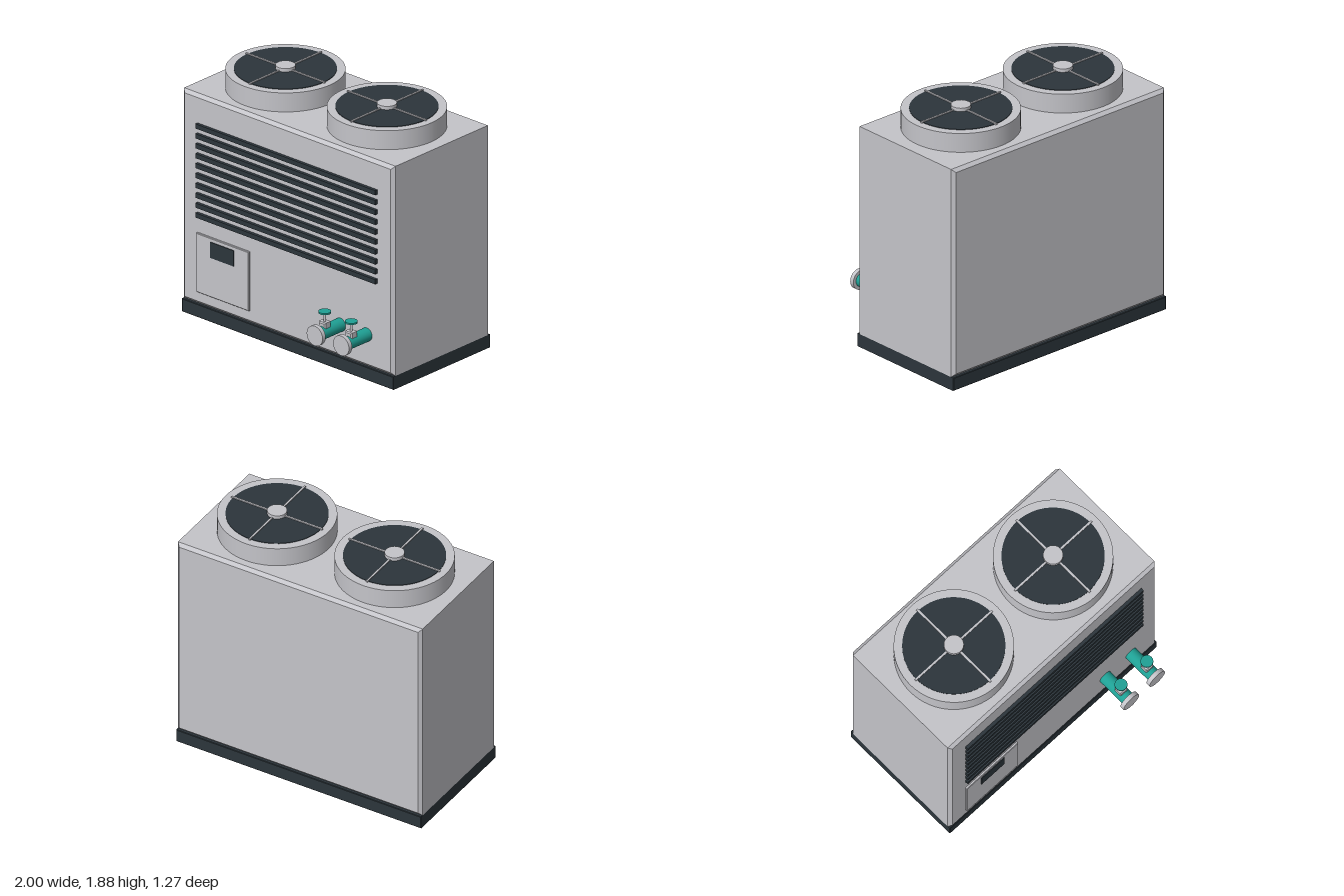
import * as THREE from 'three';

const casing = new THREE.MeshStandardMaterial({ color: 0xc4c4c9 });
casing.name = 'casing grey';
const dark = new THREE.MeshStandardMaterial({ color: 0x2c353b });
dark.name = 'dark slate';
const teal = new THREE.MeshStandardMaterial({ color: 0x1fa195 });
teal.name = 'pipe teal';

function add(parent, name, geometry, material, x = 0, y = 0, z = 0) {
  const mesh = new THREE.Mesh(geometry, material);
  mesh.name = name;
  mesh.position.set(x, y, z);
  parent.add(mesh);
  return mesh;
}

// Box with 45 degree chamfers of size c on all edges, centred on the origin
function chamferBox(w, h, d, c) {
  const x = w / 2 - c, y = h / 2 - c;
  const shape = new THREE.Shape([
    new THREE.Vector2(-x, -y), new THREE.Vector2(x, -y),
    new THREE.Vector2(x, y), new THREE.Vector2(-x, y),
  ]);
  const geometry = new THREE.ExtrudeGeometry(shape, {
    depth: d - 2 * c, bevelEnabled: true, bevelSegments: 1, bevelSize: c, bevelThickness: c,
  });
  return geometry.translate(0, 0, c - d / 2);
}

const disc = (r, h, n = 48) => new THREE.CylinderGeometry(r, r, h, n);

// Raised fan housing with dark opening, cross guard and hub
function makeFan(x) {
  const fan = new THREE.Group();
  fan.name = 'fan';
  fan.position.set(x, 1.69, -0.135);
  add(fan, 'fanHousing', disc(0.42, 0.155, 64), casing, 0, 0.0775, 0);
  add(fan, 'fanOpening', disc(0.36, 0.008, 64), dark, 0, 0.155, 0);
  add(fan, 'guardBarAcross', new THREE.BoxGeometry(0.744, 0.012, 0.014), casing, 0, 0.16, 0);
  add(fan, 'guardBarDeep', new THREE.BoxGeometry(0.014, 0.012, 0.744), casing, 0, 0.16, 0);
  add(fan, 'fanHub', disc(0.07, 0.03, 32), casing, 0, 0.17, 0);
  return fan;
}

// Flanged water pipe with a hand valve
function makePipe(x) {
  const pipe = new THREE.Group();
  pipe.name = 'waterPipe';
  pipe.position.set(x, 0.35, 0);
  add(pipe, 'pipe', disc(0.05, 0.25, 32), teal, 0, 0, 0.48).rotation.x = Math.PI / 2;
  add(pipe, 'flange', disc(0.075, 0.032, 40), casing, 0, 0, 0.617).rotation.x = Math.PI / 2;
  add(pipe, 'valveBody', chamferBox(0.066, 0.07, 0.066, 0.008), casing, 0, 0.045, 0.528);
  add(pipe, 'valveStem', disc(0.01, 0.07, 16), casing, 0, 0.113, 0.528);
  add(pipe, 'valveWheel', disc(0.045, 0.012, 32), teal, 0, 0.15, 0.528);
  return pipe;
}

export function createModel() {
  const model = new THREE.Group();
  model.name = 'rooftopChiller';

  // Plinth and cabinet
  add(model, 'base', chamferBox(2, 0.1, 1, 0.004), dark, 0, 0.05, -0.133);
  add(model, 'cabinet', chamferBox(2, 1.6, 1, 0.024), casing, 0, 0.9, -0.133);

  // Front air louvres
  for (let i = 0; i < 10; i++) {
    add(model, 'louvre', new THREE.BoxGeometry(1.7, 0.035, 0.03), dark, 0, 0.787 + i * 0.0755, 0.376);
  }

  // Control panel with screen
  add(model, 'controlPanel', chamferBox(0.496, 0.45, 0.03, 0.004), casing, -0.602, 0.425, 0.368);
  add(model, 'controlScreen', new THREE.BoxGeometry(0.222, 0.12, 0.009), dark, -0.602, 0.562, 0.3845);

  for (const x of [-0.48, 0.48]) model.add(makeFan(x));
  for (const x of [0.5, 0.75]) model.add(makePipe(x));
  return model;
}
